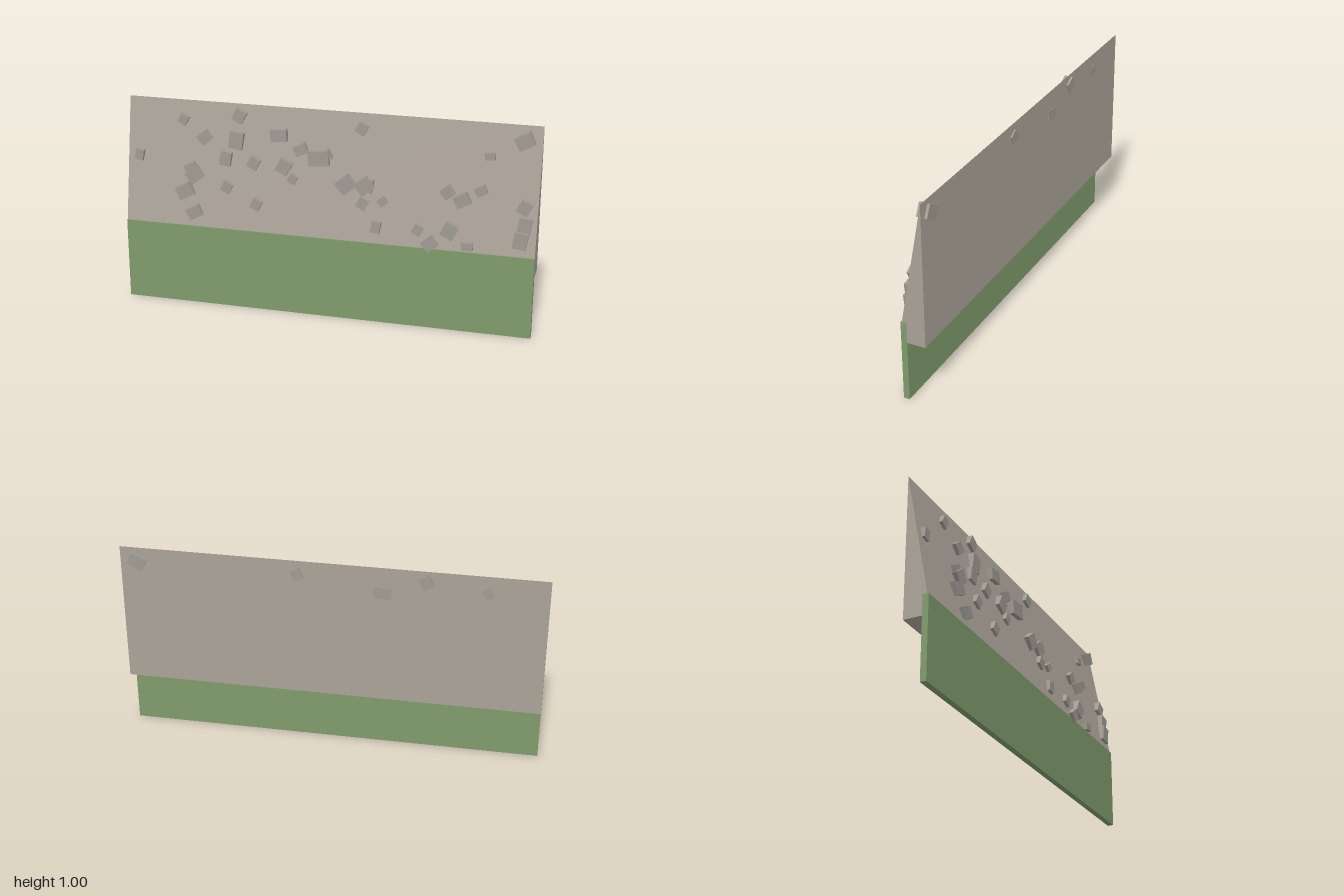
import * as THREE from 'three';

const material = (name, color) => {
  const m = new THREE.MeshStandardMaterial({ color });
  m.name = name;
  return m;
};

// Depth of the sloping face at a given height
const slopeZ = (y) => 0.055 - ((y - 0.4) / 0.6) * 0.112;

// Stones grouped by how they lie: turn in degrees, height as a share of width,
// and [x, y, width] for each stone
const STONE_GROUPS = [
  { turn: -28, tall: 1.1, at: [
    [-0.72, 0.91, 0.045], [-0.44, 0.945, 0.056], [0.16, 0.93, 0.05], [-0.36, 0.73, 0.052],
    [-0.21, 0.725, 0.063], [-0.165, 0.67, 0.04], [-0.49, 0.605, 0.048], [-0.34, 0.535, 0.048],
    [0.18, 0.585, 0.048], [0.45, 0.485, 0.045], [0.6, 0.495, 0.066], [0.94, 0.63, 0.057],
  ] },
  { turn: -8, tall: 1.25, at: [
    [-0.45, 0.83, 0.067], [-0.94, 0.725, 0.042], [-0.5, 0.74, 0.055], [0.2, 0.67, 0.053],
    [0.25, 0.48, 0.045], [0.945, 0.55, 0.06], [0.93, 0.48, 0.065],
  ] },
  { turn: 5, tall: 0.72, at: [
    [-0.24, 0.87, 0.08], [0.765, 0.85, 0.047], [-0.04, 0.78, 0.1], [0.685, 0.43, 0.052],
  ] },
  { turn: 27, tall: 0.8, at: [
    [0.92, 0.93, 0.08], [-0.13, 0.81, 0.062], [-0.01, 0.79, 0.06], [-0.675, 0.68, 0.055],
    [-0.7, 0.57, 0.08], [-0.65, 0.47, 0.07], [0.65, 0.64, 0.07], [0.735, 0.69, 0.053],
  ] },
  { turn: 39, tall: 0.9, at: [
    [-0.61, 0.83, 0.06], [-0.655, 0.65, 0.075], [0.095, 0.665, 0.078], [0.185, 0.665, 0.073],
    [0.275, 0.6, 0.04], [0.51, 0.425, 0.062], [0.58, 0.67, 0.056],
  ] },
];

export function createModel() {
  const model = new THREE.Group();
  model.name = 'stonyEmbankment';
  const green = material('mossGreen', 0x7f9a6c);
  const wall = material('paleRock', 0xaaa297);
  const rock = material('stoneGrey', 0xa09a92);

  // Green panel at the foot
  const panel = new THREE.Mesh(new THREE.BoxGeometry(2, 0.4, 0.029), green);
  panel.name = 'basePanel';
  panel.position.set(0, 0.2, 0.0475);
  model.add(panel);

  // Wedge: side profile drawn with -z as shape x, extruded along x
  const profile = new THREE.Shape([
    new THREE.Vector2(-0.055, 0.3),
    new THREE.Vector2(0.057, 0.3),
    new THREE.Vector2(0.057, 1),
    new THREE.Vector2(-0.055, 0.4),
  ]);
  const wedgeGeometry = new THREE.ExtrudeGeometry(profile, { depth: 2, bevelEnabled: false });
  wedgeGeometry.translate(0, 0, -1).rotateY(Math.PI / 2);
  const wedge = new THREE.Mesh(wedgeGeometry, wall);
  wedge.name = 'rockSlope';
  model.add(wedge);

  // Loose stones, half sunk in the slope; wider ones are deeper
  const stones = new THREE.Group();
  stones.name = 'stones';
  for (const { turn, tall, at } of STONE_GROUPS) {
    for (const [x, y, width] of at) {
      const depth = 0.02 + 0.4 * width;
      const stone = new THREE.Mesh(new THREE.BoxGeometry(width, width * tall, depth), rock);
      stone.name = 'stone';
      stone.position.set(x, y, slopeZ(y));
      stone.rotation.z = THREE.MathUtils.degToRad(turn);
      stones.add(stone);
    }
  }
  model.add(stones);

  return model;
}
